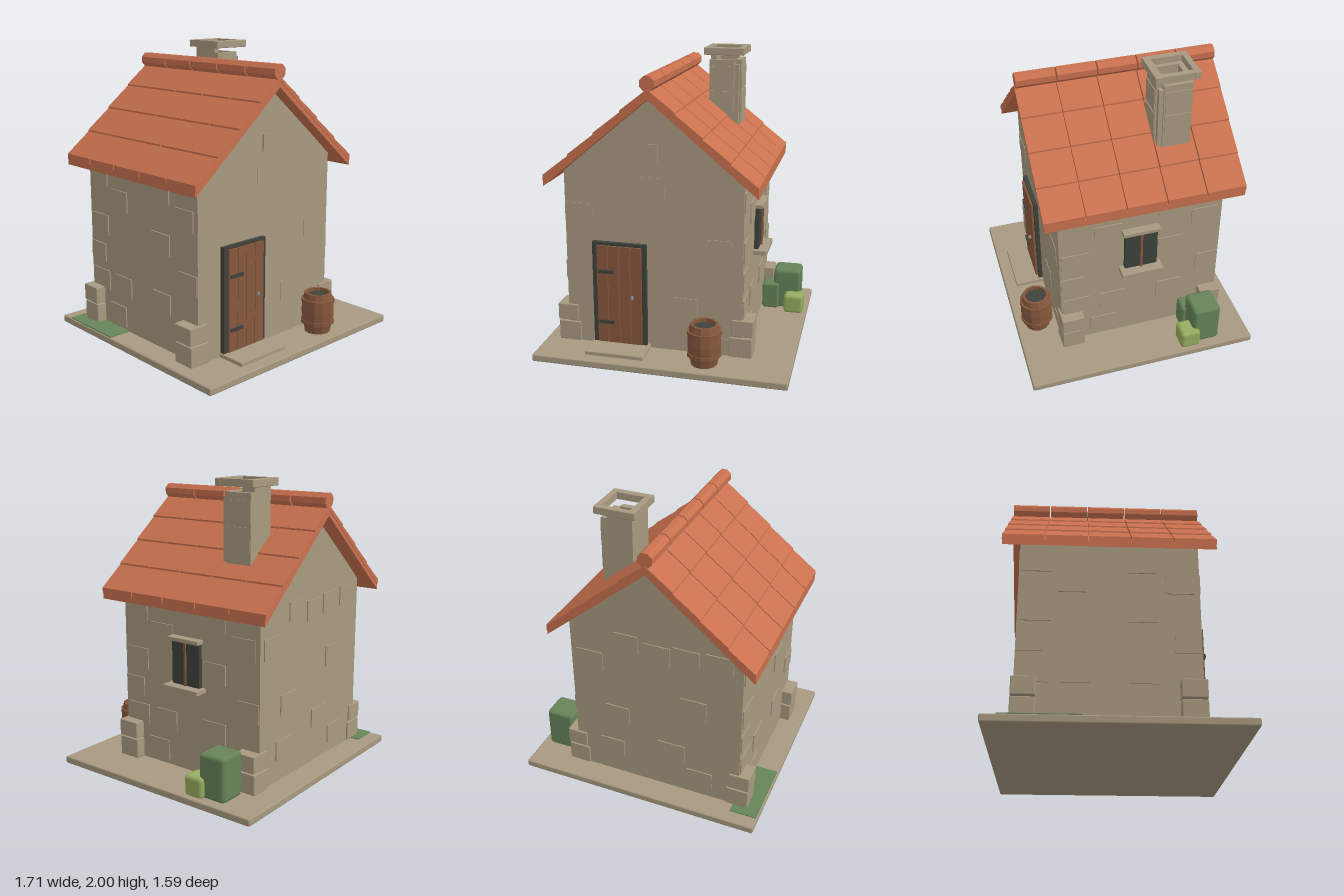
import * as THREE from 'three';
import { RoundedBoxGeometry } from 'three/addons/geometries/RoundedBoxGeometry.js';

const mat = (name, color, extra = {}) => {
  const m = new THREE.MeshStandardMaterial({ color, ...extra });
  m.name = name;
  return m;
};

export function createModel() {
  const stone = mat('stone', 0xa89a80);
  const tile = mat('roofTile', 0xc9714f);
  const wood = mat('wood', 0x87583d, { flatShading: true });
  const dark = mat('darkIron', 0x3f413b);
  const metal = mat('handleMetal', 0x8f8f88);
  const leaf = mat('leaf', 0x668458);
  const lightLeaf = mat('lightLeaf', 0x96ad60);

  const root = new THREE.Group();
  root.name = 'stoneCottage';
  const group = (name) => {
    const g = new THREE.Group();
    g.name = name;
    root.add(g);
    return g;
  };
  const add = (parent, name, geo, m) => {
    const mesh = new THREE.Mesh(geo, m);
    mesh.name = name;
    parent.add(mesh);
    return mesh;
  };
  // Box from its limits, with optional small bevel
  const box = (parent, name, m, x0, x1, y0, y1, z0, z1, bevel = 0) => {
    const s = [x1 - x0, y1 - y0, z1 - z0];
    const geo = bevel ? new RoundedBoxGeometry(...s, 1, bevel) : new THREE.BoxGeometry(...s);
    const mesh = add(parent, name, geo, m);
    mesh.position.set((x0 + x1) / 2, (y0 + y1) / 2, (z0 + z1) / 2);
    return mesh;
  };
  // Polygon in x, y stretched from z0 to z1
  const prism = (parent, name, m, pts, z0, z1) => {
    const shape = new THREE.Shape(pts.map(([x, y]) => new THREE.Vector2(x, y)));
    const geo = new THREE.ExtrudeGeometry(shape, { depth: z1 - z0, bevelEnabled: false });
    geo.translate(0, 0, z0);
    return add(parent, name, geo, m);
  };

  // Ground
  const ground = group('ground');
  box(ground, 'baseSlab', stone, -0.853, 0.853, 0, 0.05, -0.795, 0.795, 0.01);
  box(ground, 'doorStep', stone, -0.51, -0.11, 0.045, 0.075, 0.5, 0.71, 0.004);
  box(ground, 'grassPatch', leaf, -0.845, -0.66, 0.048, 0.056, -0.7, -0.22);

  // Walls with gables
  const L = -0.69, R = 0.51, F = 0.505, B = -0.625, CX = -0.09;
  const walls = group('walls');
  prism(walls, 'wallBody', stone, [[L, 0.04], [R, 0.04], [R, 1.252], [CX, 1.77], [L, 1.252]], B, F);
  box(walls, 'gableStone', stone, -0.135, -0.05, 1.34, 1.46, F - 0.01, F + 0.01);

  // Raised wall stones: [start along wall, bottom, width, height]
  const p = 0.008;
  const frontStones = [[-0.69, 0.91, 0.2, 0.13], [-0.18, 1.11, 0.17, 0.13], [0.05, 0.29, 0.16, 0.14],
    [0.27, 0.7, 0.16, 0.15], [0.3, 0.07, 0.2, 0.1]];
  const backStones = [[-0.62, 1.1, 0.18, 0.13], [-0.4, 1.08, 0.18, 0.14], [-0.2, 1.06, 0.18, 0.14], [0.02, 1.1, 0.17, 0.13],
    [0.28, 0.9, 0.19, 0.14], [-0.45, 0.7, 0.18, 0.14], [0.1, 0.5, 0.18, 0.13], [-0.3, 0.3, 0.2, 0.13],
    [-0.5, 0.12, 0.18, 0.13], [0.15, 0.2, 0.18, 0.13]];
  const sideStones = [[0.3, 0.7, 0.19, 0.14], [0.08, 0.9, 0.18, 0.14], [-0.36, 0.7, 0.18, 0.14], [-0.59, 0.9, 0.18, 0.14],
    [0.3, 0.3, 0.19, 0.14], [0.05, 0.3, 0.18, 0.14], [-0.36, 0.3, 0.18, 0.14], [0.3, 1.04, 0.19, 0.13],
    [-0.36, 1.04, 0.18, 0.13], [0.12, 0.08, 0.18, 0.14], [-0.62, 0.5, 0.16, 0.13], [0.34, 0.5, 0.16, 0.13]];
  frontStones.forEach(([a, y, w, h]) => box(walls, 'frontStone', stone, a, a + w, y, y + h, F - 0.01, F + 0.004));
  backStones.forEach(([a, y, w, h]) => box(walls, 'backStone', stone, a, a + w, y, y + h, B - p, B + 0.01));
  sideStones.forEach(([a, y, w, h]) => {
    box(walls, 'windowSideStone', stone, R - 0.01, R + p, y, y + h, a, a + w);
    box(walls, 'plainSideStone', stone, L - p, L + 0.01, y, y + h, -0.12 - a - w, -0.12 - a);
  });

  // Corner stones, two courses on each corner
  for (const s of [-1, 1]) for (const [z0, z1] of [[0.36, 0.517], [-0.637, -0.49]]) {
    const course = (y0, y1, inner, outer) => {
      const a = CX + s * inner, b = CX + s * outer;
      box(walls, 'cornerStone', stone, Math.min(a, b), Math.max(a, b), y0, y1, z0, z1, 0.006);
    };
    course(0.05, 0.188, 0.515, 0.67);
    course(0.196, 0.312, 0.53, 0.675);
  }

  // Roof: sloping boards with lapped tiles
  const roof = group('roof');
  const Z0 = -0.735, Z1 = 0.612, HALF = 0.705, SLOPE = 0.837, COLS = 5, ROWS = 4;
  const pitch = (Z1 - Z0) / COLS;
  const top = (d) => 1.83 - SLOPE * d;
  for (const s of [-1, 1]) {
    const X = (d) => CX + s * d;
    prism(roof, 'roofBoards', tile, [[X(0), top(0) - 0.035], [X(HALF), top(HALF) - 0.035],
      [X(HALF), top(HALF) - 0.072], [X(0), top(0) - 0.072]], Z0 + 0.004, Z1 - 0.004);
    for (let r = 0; r < ROWS; r++) for (let c = 0; c < COLS; c++) {
      const d0 = (HALF * r) / ROWS, d1 = (HALF * (r + 1)) / ROWS;
      prism(roof, 'roofTile', tile, [[X(d0), top(d0) - 0.008], [X(d1), top(d1) + 0.003],
        [X(d1), top(d1) - 0.036], [X(d0), top(d0) - 0.036]],
      Z0 + pitch * c + (c ? 0.004 : 0), Z0 + pitch * (c + 1) - (c < COLS - 1 ? 0.004 : 0));
    }
  }
  const ridgeMat = mat('roofTile', 0xc9714f, { flatShading: true });
  for (let c = 0; c < COLS; c++) {
    const geo = new THREE.CylinderGeometry(0.051, 0.051, pitch - 0.01, 8).rotateY(Math.PI / 8).rotateX(Math.PI / 2);
    add(roof, 'ridgeTile', geo, ridgeMat).position.set(CX, 1.855, Z0 + pitch * (c + 0.5));
  }

  // Hollow chimney with open cap
  const chimney = group('chimney');
  box(chimney, 'chimneyLeftWall', stone, 0.13, 0.172, 1.45, 1.955, -0.43, -0.24);
  box(chimney, 'chimneyBackWall', stone, 0.172, 0.303, 1.4, 1.955, -0.43, -0.39);
  box(chimney, 'chimneyRightWall', stone, 0.303, 0.345, 1.36, 1.915, -0.43, -0.24);
  box(chimney, 'chimneyFrontWall', stone, 0.13, 0.303, 1.4, 1.915, -0.24, -0.2);
  box(chimney, 'chimneyCorner', stone, 0.295, 0.335, 1.36, 1.885, -0.245, -0.21);
  box(chimney, 'flue', dark, 0.165, 0.31, 1.4, 1.8, -0.395, -0.235);
  for (const y of [1.62, 1.79]) {
    box(chimney, 'chimneyFrontStone', stone, 0.134, 0.299, y - 0.07, y + 0.08, -0.21, -0.194);
    box(chimney, 'chimneySideStone', stone, 0.335, 0.35, y - 0.07, y + 0.08, -0.426, -0.25);
  }
  box(chimney, 'capFront', stone, 0.095, 0.375, 1.95, 2, -0.22, -0.17, 0.005);
  box(chimney, 'capBack', stone, 0.095, 0.375, 1.95, 2, -0.467, -0.425, 0.005);
  box(chimney, 'capLeft', stone, 0.097, 0.14, 1.951, 1.999, -0.43, -0.215);
  box(chimney, 'capRight', stone, 0.333, 0.373, 1.951, 1.999, -0.43, -0.215);

  // Door
  const door = group('door');
  box(door, 'doorFrame', dark, -0.5, -0.13, 0.07, 0.787, F - 0.02, 0.535);
  for (let i = 0; i < 4; i++) {
    const x = -0.466 + i * 0.0775;
    box(door, 'doorPlank', wood, x, x + 0.0735, 0.08, 0.767, 0.52, 0.55);
  }
  for (const y of [0.23, 0.59]) box(door, 'hinge', dark, -0.455, -0.35, y - 0.011, y + 0.011, 0.545, 0.562);
  const handle = add(door, 'doorHandle', new THREE.SphereGeometry(0.018, 10, 8), metal);
  handle.position.set(-0.22, 0.42, 0.565);
  handle.scale.set(0.6, 1, 0.7);

  // Side window
  const win = group('window');
  box(win, 'windowPane', dark, R - 0.02, 0.54, 0.65, 0.955, -0.165, 0.06);
  box(win, 'windowBar', wood, 0.53, 0.552, 0.655, 0.95, -0.06, -0.045);
  box(win, 'windowSill', stone, R - 0.02, 0.605, 0.623, 0.655, -0.197, 0.095, 0.004);
  box(win, 'windowLintel', stone, R - 0.02, 0.568, 0.95, 0.978, -0.178, 0.078, 0.004);

  // Barrel
  const barrel = group('barrel');
  barrel.position.set(0.287, 0, 0.64);
  const lathe = (name, m, pts, sides) => add(barrel, name,
    new THREE.LatheGeometry(pts.map(([r, y]) => new THREE.Vector2(r, y)), sides), m);
  lathe('barrelStaves', wood, [[0, 0.05], [0.088, 0.05], [0.093, 0.08], [0.109, 0.14], [0.112, 0.2], [0.109, 0.26],
    [0.092, 0.33], [0.076, 0.33], [0.076, 0.29]], 12);
  for (const y of [0.125, 0.275]) {
    lathe('barrelHoop', wood, [[0.1, y - 0.012], [0.115, y - 0.012], [0.115, y + 0.012], [0.1, y + 0.012]], 12);
  }
  add(barrel, 'barrelInside', new THREE.CylinderGeometry(0.08, 0.08, 0.01, 12), dark).position.y = 0.3;

  // Bushes
  const bushes = group('bushes');
  box(bushes, 'largeBush', leaf, 0.6, 0.798, 0.05, 0.35, -0.562, -0.365, 0.025);
  box(bushes, 'smallBush', leaf, 0.52, 0.643, 0.05, 0.245, -0.47, -0.335, 0.02);
  box(bushes, 'lightBush', lightLeaf, 0.688, 0.83, 0.05, 0.19, -0.412, -0.27, 0.025);

  return root;
}
